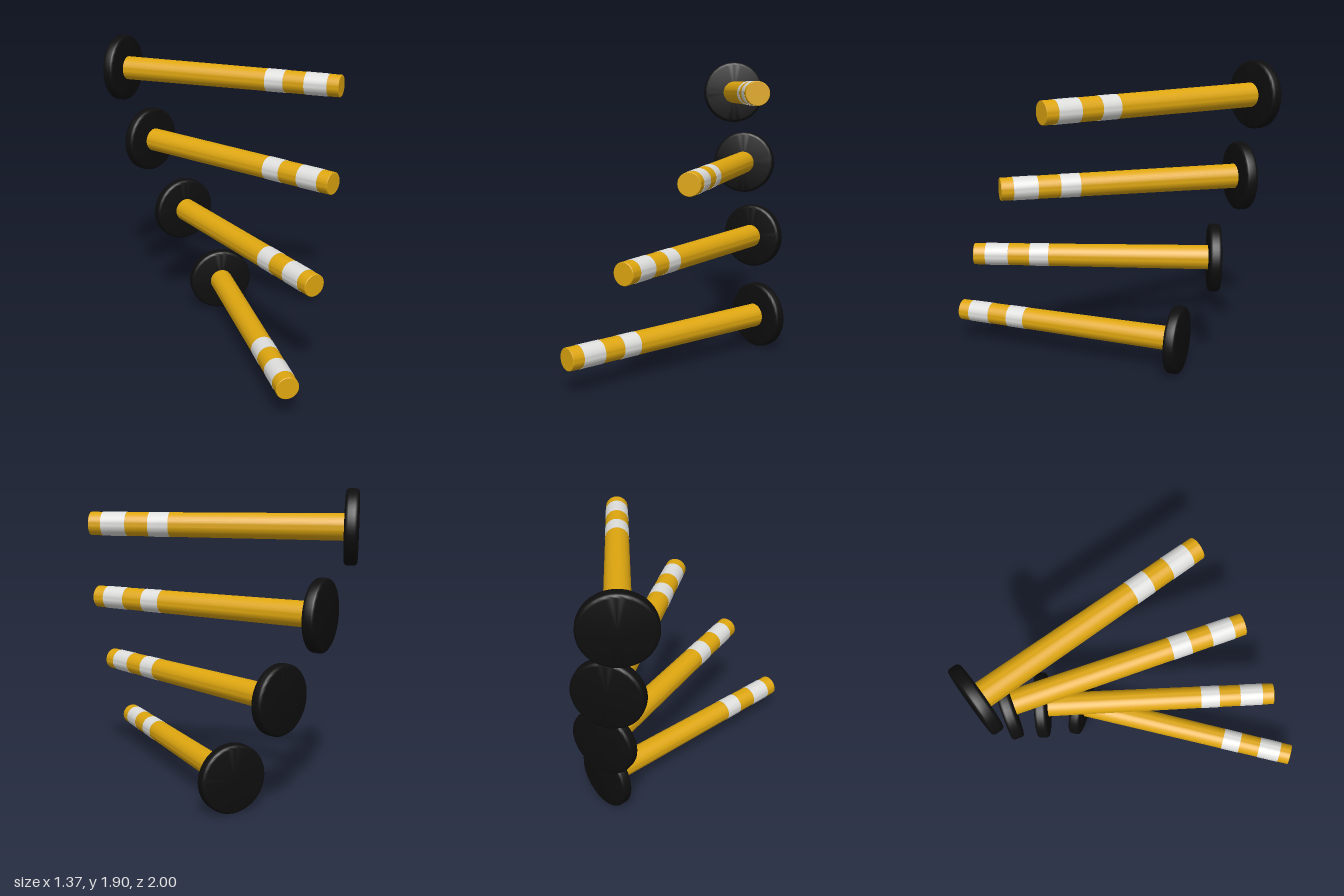
import * as THREE from 'three';
import { toCreasedNormals } from 'three/addons/utils/BufferGeometryUtils.js';

const SEGMENTS = 48;
const POST_START = 0.0375, POST_END = 1.5075;
const R_BASE = 0.076, R_TIP = 0.068;

function material(name, color) {
  const m = new THREE.MeshStandardMaterial({ color });
  m.name = name;
  return m;
}

// Solid of revolution lying along +z, from [radius, z] pairs
function turned(profile) {
  const points = profile.map(([r, z]) => new THREE.Vector2(r, z));
  return toCreasedNormals(new THREE.LatheGeometry(points, SEGMENTS).rotateX(Math.PI / 2), 0.6);
}

// Radius of the tapering post at distance z
function postRadius(z) {
  return THREE.MathUtils.mapLinear(z, POST_START, POST_END, R_BASE, R_TIP);
}

// Disc with rounded rims
function baseGeometry() {
  const radius = 0.2125, half = 0.0375, round = 0.02;
  const profile = [[0, -half]];
  for (const side of [-1, 1]) {
    for (let i = 0; i <= 4; i++) {
      const a = (side < 0 ? i - 4 : i) * Math.PI / 8;
      profile.push([radius - round + round * Math.cos(a), side * (half - round) + round * Math.sin(a)]);
    }
  }
  profile.push([0, half]);
  return turned(profile);
}

// Thin reflective sleeve following the taper
function bandGeometry(from, to) {
  const lift = 0.0015;
  return turned([
    [postRadius(from) - 0.002, from],
    [postRadius(from) + lift, from],
    [postRadius(to) + lift, to],
    [postRadius(to) - 0.002, to],
  ]);
}

export function createModel() {
  const yellow = material('yellow plastic', 0xdea60f);
  const white = material('reflective white', 0xdededc);
  const black = material('black rubber', 0x0e0e0e);

  const base = baseGeometry();
  const post = turned([
    [0, POST_START - 0.01],
    [R_BASE, POST_START - 0.01],
    [R_TIP, POST_END - 0.003],
    [R_TIP - 0.003, POST_END],
    [0, POST_END],
  ]);
  const lowerBand = bandGeometry(1.0325, 1.1525);
  const upperBand = bandGeometry(1.2875, 1.4325);

  const model = new THREE.Group();
  model.name = 'delineatorPosts';

  // Base centres of the four posts, fanned out as they rise
  const centres = [[0.04, -0.5075], [-0.18, -0.672], [-0.377, -0.774], [-0.536, -0.819]];
  centres.forEach(([x, z], i) => {
    const bollard = new THREE.Group();
    bollard.name = `bollard${i + 1}`;
    const parts = [
      ['base', base, black],
      ['post', post, yellow],
      ['lowerBand', lowerBand, white],
      ['upperBand', upperBand, white],
    ];
    for (const [name, geometry, mat] of parts) {
      const mesh = new THREE.Mesh(geometry, mat);
      mesh.name = name;
      bollard.add(mesh);
    }
    bollard.position.set(x, 0.2125 + i * 0.491, z);
    bollard.rotation.y = i * 0.3;
    model.add(bollard);
  });
  return model;
}
